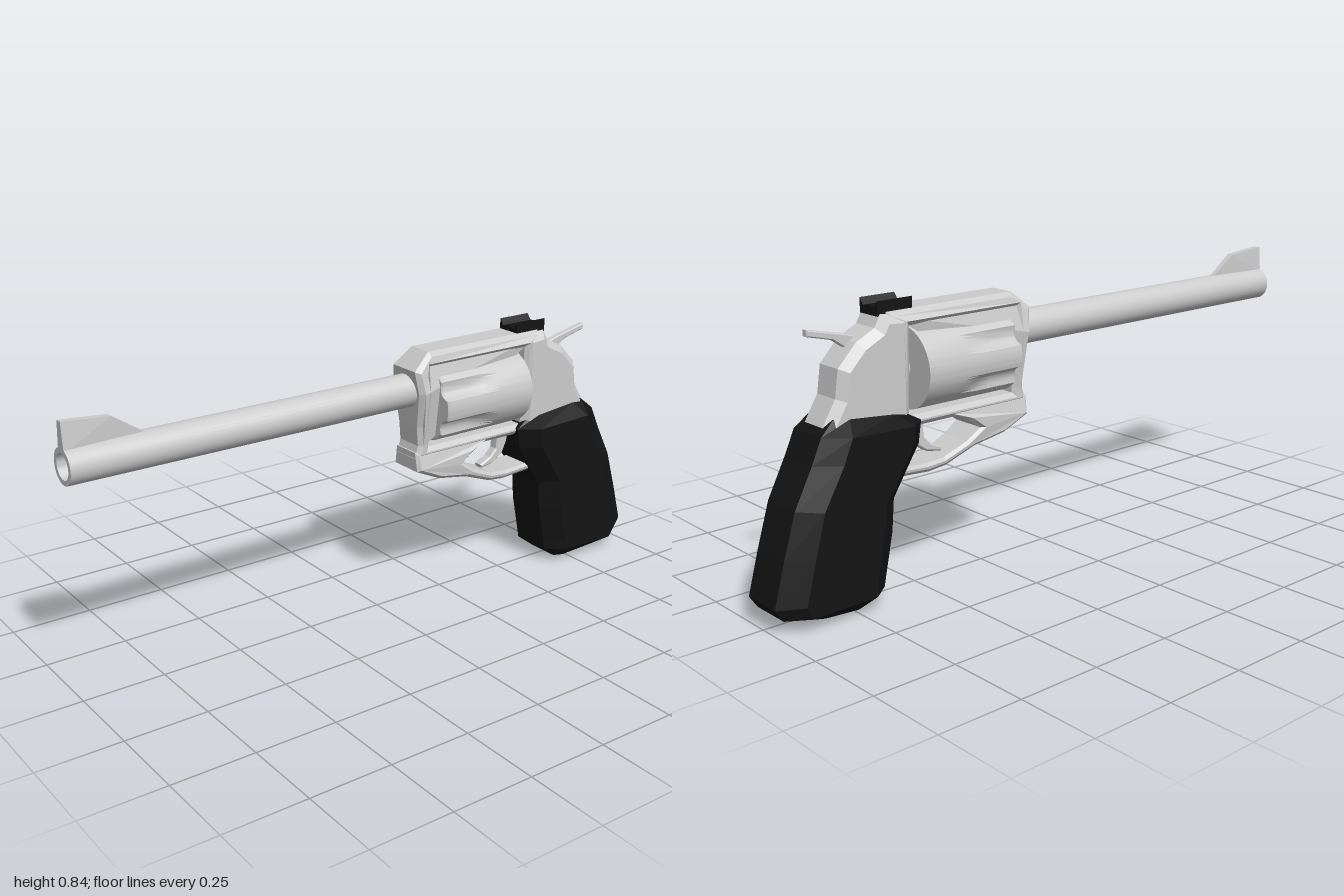
import * as THREE from 'three';
import { toCreasedNormals } from 'three/addons/utils/BufferGeometryUtils.js';

const steel = new THREE.MeshStandardMaterial({ color: 0xcccccc });
const black = new THREE.MeshStandardMaterial({ color: 0x141414 });

// Skin closed rings of [x, y, z] points, listed counter-clockwise around the direction of travel
function loft(rings) {
  const pos = [];
  const tri = (...pts) => pts.forEach((p) => pos.push(...p));
  const n = rings[0].length;
  const centre = (r) => [0, 1, 2].map((k) => r.reduce((s, p) => s + p[k], 0) / n);
  const first = rings[0], last = rings[rings.length - 1];
  const c0 = centre(first), c1 = centre(last);
  for (let i = 0; i < n; i++) {
    const j = (i + 1) % n;
    for (let k = 0; k + 1 < rings.length; k++) {
      const a = rings[k], b = rings[k + 1];
      tri(a[i], a[j], b[j]);
      tri(a[i], b[j], b[i]);
    }
    tri(c0, first[j], first[i]);
    tri(c1, last[i], last[j]);
  }
  const g = new THREE.BufferGeometry();
  g.setAttribute('position', new THREE.Float32BufferAttribute(pos, 3));
  g.computeVertexNormals();
  return g;
}

// Chamfered plate from a side outline of [z, y] points; widthRule scales x by position
function plate(outline, halfWidth, bevel, { hole, widthRule } = {}) {
  const toPts = (list) => list.map(([z, y]) => new THREE.Vector2(z, y));
  const shape = new THREE.Shape(toPts(outline));
  if (hole) shape.holes.push(new THREE.Path(toPts(hole)));
  const depth = 2 * (halfWidth - bevel);
  const g = new THREE.ExtrudeGeometry(shape, {
    depth, bevelEnabled: bevel > 0, bevelThickness: bevel, bevelSize: bevel, bevelOffset: -bevel, bevelSegments: 1,
  });
  g.translate(0, 0, -depth / 2).rotateY(-Math.PI / 2);
  if (widthRule) {
    const p = g.attributes.position;
    for (let i = 0; i < p.count; i++) p.setX(i, p.getX(i) * widthRule(p.getY(i), p.getZ(i)));
    g.computeVertexNormals();
  }
  return g;
}

export function createModel() {
  const model = new THREE.Group();
  model.name = 'revolver';
  const add = (name, geometry, material = steel) => {
    const mesh = new THREE.Mesh(geometry, material);
    mesh.name = name;
    model.add(mesh);
    return mesh;
  };

  // Hollow barrel, turned about its own axis
  const barrelProfile = [[0, -0.18], [0.052, -0.18], [0.052, 1], [0.037, 1], [0.037, 0.3], [0, 0.3]]
    .map(([r, l]) => new THREE.Vector2(r, l));
  const barrel = new THREE.LatheGeometry(barrelProfile, 32).rotateX(Math.PI / 2).translate(0, 0.69, 0);
  add('barrel', toCreasedNormals(barrel, 0.6));

  // Front sight blade, narrowing to the top and rear
  add('frontSight', plate([[1, 0.73], [1, 0.815], [0.86, 0.803], [0.77, 0.742], [0.77, 0.73]], 0.018, 0, {
    widthRule: (y, z) => (y > 0.78 ? 0.6 : 1) * (z < 0.8 ? 0.4 : 1),
  }));

  // Frame ring around the cylinder window
  add('frame', plate(
    [[-0.1, 0.76], [-0.11, 0.69], [-0.117, 0.58], [-0.122, 0.52], [-0.11, 0.48], [-0.6, 0.478],
      [-0.6, 0.81], [-0.16, 0.81]], 0.067, 0.014,
    {
      hole: [[-0.157, 0.766], [-0.535, 0.766], [-0.535, 0.511], [-0.162, 0.511], [-0.16, 0.58], [-0.157, 0.69]],
      widthRule: (y, z) => {
        if (y > 0.785) return 0.75;
        if (z > -0.2 && y > 0.66 && y < 0.73) return 1.18;
        return y < 0.62 ? 0.83 : 1;
      },
    }));

  // Rear body behind the cylinder, running down into the grip
  add('rearFrame', plate(
    [[-0.535, 0.8], [-0.62, 0.806], [-0.64, 0.772], [-0.7, 0.742], [-0.76, 0.68], [-0.772, 0.6],
      [-0.815, 0.53], [-0.78, 0.45], [-0.535, 0.48]], 0.066, 0.024));

  // Fluted cylinder: six flutes run out toward the rear
  const ring = (z, radius, depth) => Array.from({ length: 96 }, (_, i) => {
    const a = (i / 96) * Math.PI * 2;
    const r = radius - depth * Math.max(0, -Math.cos(6 * a)) ** 0.7;
    return [r * Math.cos(a), 0.637 + r * Math.sin(a), z];
  });
  const cylinder = loft([ring(-0.516, 0.119, 0), ring(-0.39, 0.119, 0), ring(-0.33, 0.119, 0.012),
    ring(-0.28, 0.119, 0.019), ring(-0.185, 0.119, 0.02), ring(-0.18, 0.115, 0.02)]);
  add('cylinder', toCreasedNormals(cylinder, 0.4));
  const pin = new THREE.CylinderGeometry(0.03, 0.03, 0.39, 16).rotateX(Math.PI / 2).translate(0, 0.637, -0.345);
  add('cylinderPin', toCreasedNormals(pin, 0.6));

  // Trigger guard with its solid front block
  add('triggerGuard', plate(
    [[-0.11, 0.5], [-0.112, 0.44], [-0.2, 0.4], [-0.31, 0.38], [-0.41, 0.342], [-0.47, 0.335], [-0.62, 0.345],
      [-0.62, 0.372], [-0.48, 0.363], [-0.42, 0.368], [-0.34, 0.4], [-0.29, 0.432], [-0.33, 0.46], [-0.4, 0.492]],
    0.065, 0.01, { widthRule: (y) => THREE.MathUtils.clamp(0.75 + (y - 0.335) * 3, 0.75, 1) * (y > 0.488 ? 0.83 : 1) }));

  // Curved trigger
  add('trigger', plate(
    [[-0.47, 0.49], [-0.463, 0.43], [-0.44, 0.406], [-0.4, 0.388], [-0.405, 0.376], [-0.455, 0.386],
      [-0.49, 0.41], [-0.508, 0.45], [-0.51, 0.49]], 0.017, 0.004));

  // Hammer with a slim spur
  add('hammer', plate(
    [[-0.67, 0.72], [-0.68, 0.752], [-0.715, 0.762], [-0.83, 0.788], [-0.83, 0.77], [-0.75, 0.75],
      [-0.71, 0.722], [-0.7, 0.7]], 0.011, 0.003));

  // Notched rear sight
  const notch = new THREE.Shape([[-0.04, 0.8], [0.04, 0.8], [0.04, 0.842], [0.025, 0.823], [0, 0.827],
    [-0.025, 0.823], [-0.04, 0.842]].map(([x, y]) => new THREE.Vector2(x, y)));
  add('rearSight', new THREE.ExtrudeGeometry(notch, { depth: 0.115, bevelEnabled: false }).translate(0, 0, -0.627), black);

  // Grip: eight-sided sections given as front z, y, back z, y, half width, edge half width
  const gripSections = [
    [-0.71, 0, -0.88, 0.01, 0.065, 0.05],
    [-0.65, 0.045, -0.975, 0.038, 0.11, 0.065],
    [-0.643, 0.08, -1, 0.075, 0.11, 0.065],
    [-0.618, 0.2, -0.965, 0.2, 0.11, 0.065],
    [-0.61, 0.295, -0.925, 0.33, 0.11, 0.065],
    [-0.52, 0.435, -0.868, 0.44, 0.113, 0.065],
    [-0.51, 0.5, -0.835, 0.512, 0.115, 0.065],
    [-0.56, 0.528, -0.79, 0.55, 0.066, 0.055],
  ];
  const grip = loft(gripSections.map(([fz, fy, bz, by, w, e]) => {
    const at = (x, t) => [x, fy + (by - fy) * t, fz + (bz - fz) * t];
    return [at(-e, 0), at(e, 0), at(w, 0.17), at(w, 0.8), at(e, 1), at(-e, 1), at(-w, 0.8), at(-w, 0.17)];
  }));
  add('grip', grip, black);

  return model;
}
